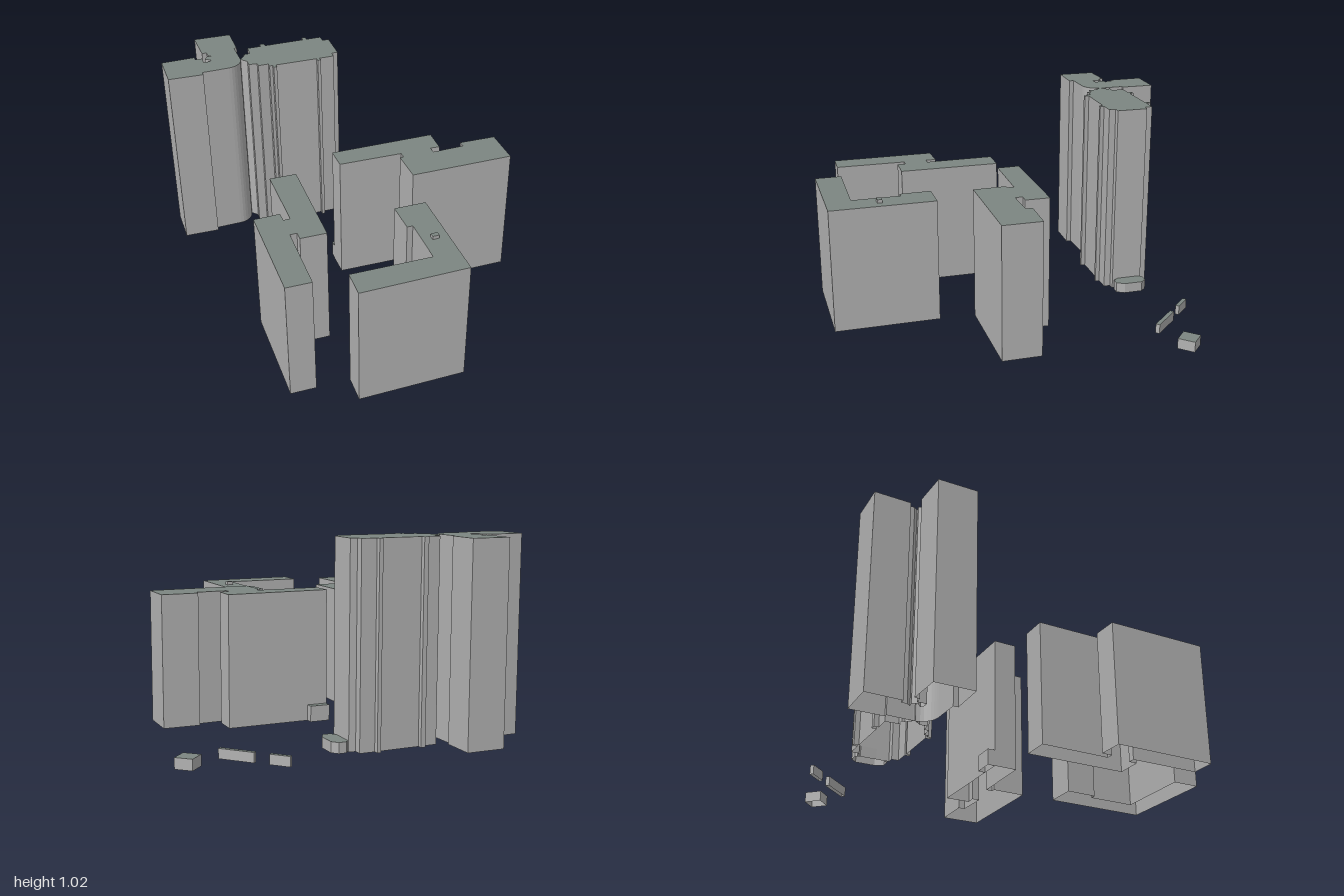
import * as THREE from 'three';

const wallMat = new THREE.MeshStandardMaterial({ name: 'wallGrey', color: 0xb2b2b2, side: THREE.DoubleSide });
const roofMat = new THREE.MeshStandardMaterial({ name: 'roofGreyGreen', color: 0x7c8681, side: THREE.DoubleSide });

// One block: vertical walls around an [x, z] footprint, a flat roof, open underneath
function block(name, footprint, height, base = 0) {
  let pts = footprint.map(([x, z]) => new THREE.Vector2(x, -z));
  if (THREE.ShapeUtils.isClockWise(pts)) pts.reverse();

  const pos = [];
  pts.forEach((a, i) => {
    const b = pts[(i + 1) % pts.length];
    const top = base + height;
    pos.push(a.x, base, -a.y, b.x, base, -b.y, b.x, top, -b.y);
    pos.push(a.x, base, -a.y, b.x, top, -b.y, a.x, top, -a.y);
  });
  const wallGeo = new THREE.BufferGeometry();
  wallGeo.setAttribute('position', new THREE.Float32BufferAttribute(pos, 3));
  wallGeo.computeVertexNormals();
  const walls = new THREE.Mesh(wallGeo, wallMat);
  walls.name = name + 'Walls';

  const roofGeo = new THREE.ShapeGeometry(new THREE.Shape(pts));
  roofGeo.rotateX(-Math.PI / 2);
  roofGeo.translate(0, base + height, 0);
  const roof = new THREE.Mesh(roofGeo, roofMat);
  roof.name = name + 'Roof';

  const group = new THREE.Group();
  group.name = name;
  group.add(walls, roof);
  return group;
}

const rect = (x0, z0, x1, z1) => [[x0, z0], [x1, z0], [x1, z1], [x0, z1]];

// Thin footprint running from one point to another
function strip(x0, z0, x1, z1, width) {
  const len = Math.hypot(x1 - x0, z1 - z0);
  const nx = -(z1 - z0) / len * width / 2, nz = (x1 - x0) / len * width / 2;
  return [[x0 + nx, z0 + nz], [x1 + nx, z1 + nz], [x1 - nx, z1 - nz], [x0 - nx, z0 - nz]];
}

// Small rib sticking out of a straight facade
const rib = (x0, x1, zWall, zOut) => [[x0, zWall], [x0, zOut], [x1, zOut], [x1, zWall]];

export function createModel() {
  const model = new THREE.Group();
  model.name = 'cityBlock';

  // Front L-shaped building with a roof hut
  model.add(block('frontBuilding', [
    [-0.025, 0.44], [0.14, 0.445], [0.13, 0.995], [-0.415, 0.985],
    [-0.41, 0.845], [0, 0.86], [0.005, 0.605], [-0.025, 0.605],
  ], 0.655));
  model.add(block('roofHut', rect(0.05, 0.715, 0.085, 0.74), 0.018, 0.655));

  // Stepped building on the right
  model.add(block('rightBuilding', [
    [-0.525, -0.03], [-0.385, -0.025], [-0.4, 0.515], [-0.535, 0.51], [-0.535, 0.465], [-0.57, 0.465],
    [-0.58, 0.84], [-0.71, 0.835], [-0.7, 0.285], [-0.565, 0.285], [-0.565, 0.34], [-0.53, 0.34],
  ], 0.655));

  // Stepped building on the left, with a low annex behind
  model.add(block('leftBuilding', [
    [-0.165, -0.085], [0.39, -0.07], [0.385, 0.06], [0.335, 0.055], [0.335, 0.095], [0.505, 0.095],
    [0.505, 0.06], [0.7, 0.07], [0.695, 0.275], [0.15, 0.26], [0.15, 0.085], [0.17, 0.085],
    [0.17, 0.05], [-0.165, 0.035],
  ], 0.7));
  model.add(block('lowAnnex', [[-0.163, -0.125], [-0.055, -0.12], [-0.055, -0.082], [-0.163, -0.085]], 0.085));

  // Tower with two wings joined by a rounded corner
  const corner = [];
  for (let i = 0; i <= 8; i++) {
    const t = i / 8 * Math.PI / 2;
    corner.push([-0.565 + 0.085 * Math.cos(t), -0.685 + 0.085 * Math.sin(t)]);
  }
  model.add(block('wingedTower', [
    [-0.66, -1], [-0.46, -0.99], [-0.465, -0.815], [-0.48, -0.815], ...corner,
    [-0.71, -0.6], [-0.71, -0.575], [-0.895, -0.585], [-0.89, -0.785], [-0.71, -0.785], [-0.71, -0.76],
    [-0.675, -0.758], [-0.675, -0.71], [-0.645, -0.71], [-0.63, -0.72], [-0.66, -0.745], [-0.645, -0.77],
    [-0.62, -0.765], [-0.635, -0.785], [-0.635, -0.815], [-0.66, -0.815],
  ], 1.02));

  // Long tower with ribbed facades
  model.add(block('longTower', [
    [-0.482, -0.675], [-0.45, -0.71], [-0.45, -0.725], [-0.415, -0.725], [-0.41, -0.79],
    ...rib(-0.335, -0.31, -0.788, -0.812), ...rib(-0.09, -0.07, -0.783, -0.808),
    [0.01, -0.78], [0.01, -0.74], [0.045, -0.735], [0.04, -0.57], [0.007, -0.57], [0.005, -0.535],
    ...rib(-0.075, -0.092, -0.537, -0.515), ...rib(-0.32, -0.338, -0.545, -0.522),
    [-0.355, -0.545], [-0.355, -0.57], [-0.41, -0.57], [-0.41, -0.595], [-0.455, -0.6], [-0.452, -0.638],
  ], 1.02));

  // Low pavilion at the end of the long tower
  model.add(block('pavilion', [
    [0.042, -0.72], [0.06, -0.742], [0.1, -0.742], [0.127, -0.71],
    [0.125, -0.61], [0.1, -0.57], [0.06, -0.572], [0.042, -0.6],
  ], 0.055));

  // Small freestanding sheds
  model.add(block('shortShed', strip(0.395, -0.84, 0.465, -0.763, 0.02), 0.05));
  model.add(block('longShed', strip(0.517, -0.708, 0.64, -0.57, 0.022), 0.05));
  model.add(block('squareShed', [[0.825, -0.718], [0.89, -0.655], [0.825, -0.592], [0.76, -0.655]], 0.055));

  return model;
}
